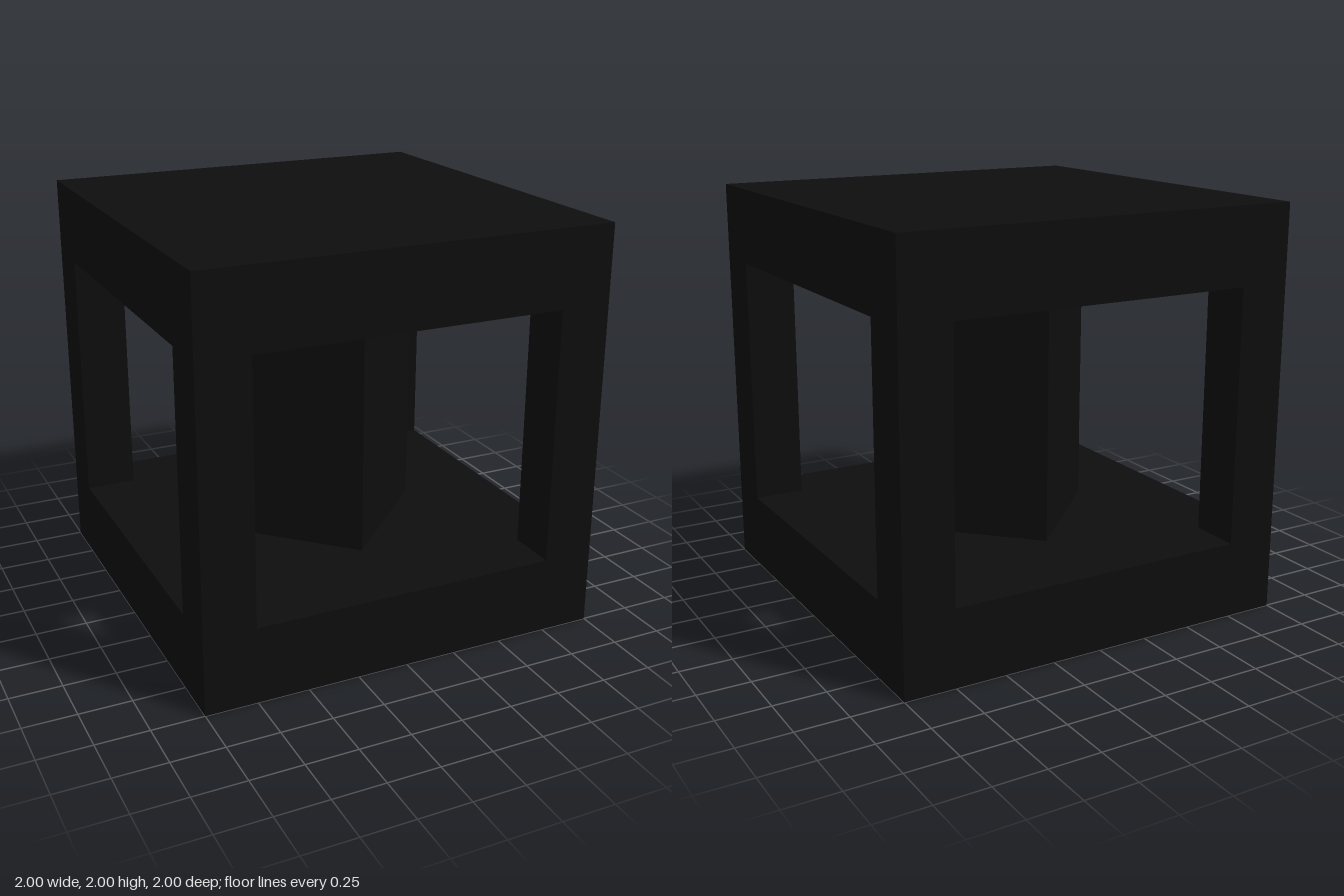
import * as THREE from 'three';

export function createModel() {
  const group = new THREE.Group();
  const black = new THREE.MeshStandardMaterial({ color: 0x0d0d0d });
  black.name = 'black';

  const SLAB = 0.375;            // thickness of base and roof
  const POST = 0.25;             // side of the square corner posts
  const OPENING = 2 - 2 * SLAB;  // clear height between the slabs
  const CORE = 0.53 * Math.SQRT2; // side of the turned central column

  function addBox(name, w, h, d, x, y, z) {
    const mesh = new THREE.Mesh(new THREE.BoxGeometry(w, h, d), black);
    mesh.name = name;
    mesh.position.set(x, y, z);
    group.add(mesh);
    return mesh;
  }

  // Solid base and roof
  addBox('base', 2, SLAB, 2, 0, SLAB / 2, 0);
  addBox('roof', 2, SLAB, 2, 0, 2 - SLAB / 2, 0);

  // Four corner posts
  const offset = 1 - POST / 2;
  for (const sx of [-1, 1]) {
    for (const sz of [-1, 1]) {
      const name = (sz > 0 ? 'front' : 'back') + (sx > 0 ? 'Left' : 'Right') + 'Post';
      addBox(name, POST, OPENING, POST, sx * offset, 1, sz * offset);
    }
  }

  // Square central column, turned so its edges face the openings
  addBox('centralColumn', CORE, OPENING, CORE, 0, 1, 0).rotation.y = Math.PI / 4;

  return group;
}
